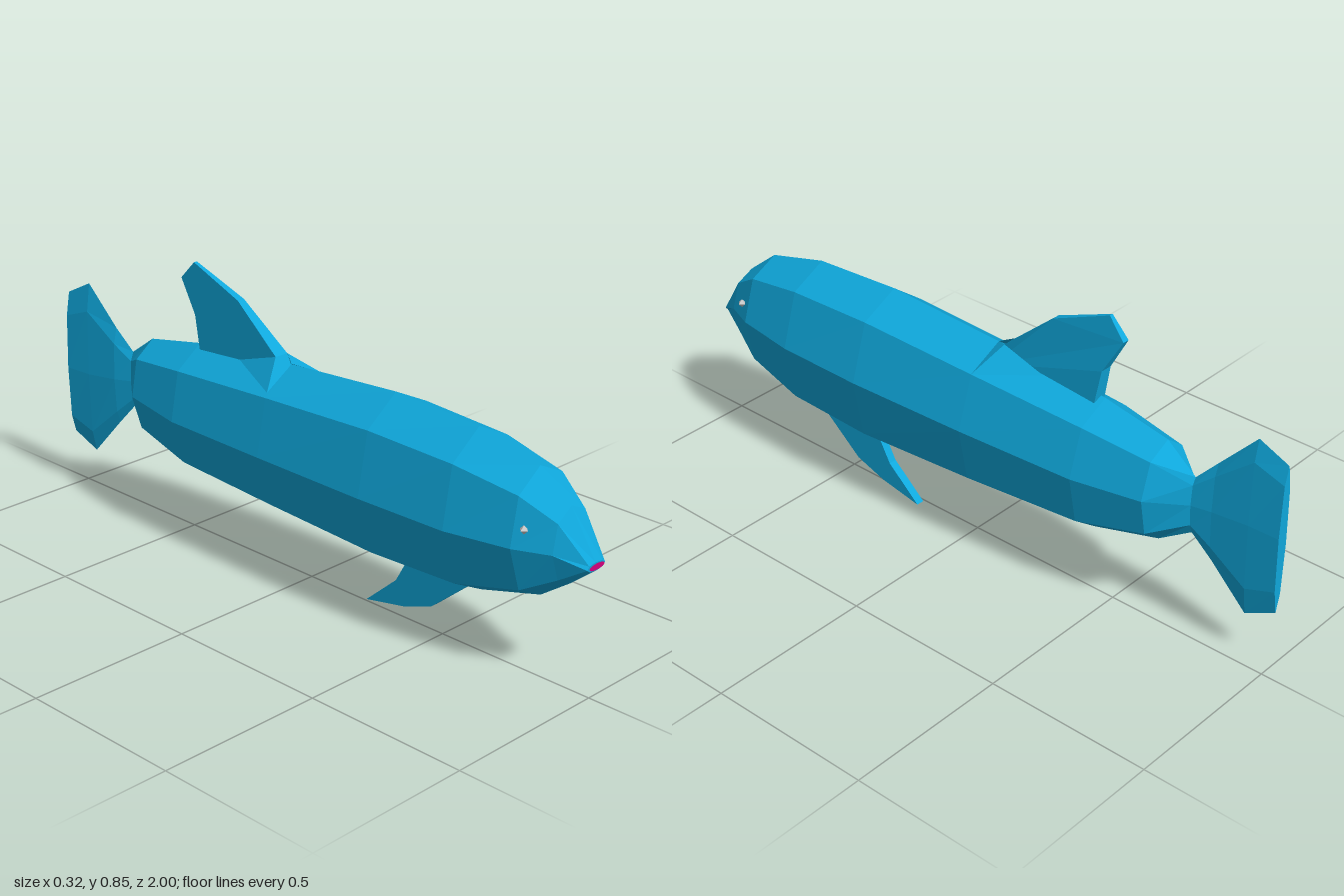
import * as THREE from 'three';

const blue = new THREE.MeshStandardMaterial({ color: 0x0fa8dc, flatShading: true, side: THREE.DoubleSide });
const grey = new THREE.MeshStandardMaterial({ color: 0xcccccc, flatShading: true });
const pink = new THREE.MeshStandardMaterial({ color: 0xd0007c });

// Slightly twisted unit octagon shared by every cross-section, clockwise from the top
const half = [[-0.1, 1], [0.66, 0.76], [1, 0.06], [0.78, -0.68]];
const ring = [...half, ...half.map(([x, y]) => [-x, -y])];

function facets(positions, index) {
  const g = new THREE.BufferGeometry();
  g.setAttribute('position', new THREE.Float32BufferAttribute(positions, 3));
  g.setIndex(index);
  const flat = g.toNonIndexed();
  flat.computeVertexNormals();
  return flat;
}

// Loft the octagon through sections [z, centreX, centreY, halfWidth, halfHeight], front to back
function loft(sections) {
  const n = ring.length, pos = [], idx = [];
  sections.forEach(([z, cx, cy, w, h], i) => {
    for (const [x, y] of ring) pos.push(cx + x * w, cy + y * h, z);
    if (i === 0) return;
    for (let k = 0; k < n; k++) {
      const a = (i - 1) * n + k, b = (i - 1) * n + (k + 1) % n;
      idx.push(a, b, a + n, b, b + n, a + n);
    }
  });
  const last = (sections.length - 1) * n;
  for (let k = 1; k < n - 1; k++) {
    idx.push(0, k + 1, k, last, last + k, last + k + 1);
  }
  return facets(pos, idx);
}

// Upright plate from a [z, y] outline, filling x0..x1
function plate(outline, x0, x1) {
  const shape = new THREE.Shape(outline.map(([z, y]) => new THREE.Vector2(z, y)));
  const g = new THREE.ExtrudeGeometry(shape, { depth: x1 - x0, bevelEnabled: false });
  g.rotateY(-Math.PI / 2).translate(x1, 0, 0);
  return g;
}

export function createModel() {
  const model = new THREE.Group();
  model.name = 'fish';
  const add = (name, geometry, material) => {
    const mesh = new THREE.Mesh(geometry, material);
    mesh.name = name;
    model.add(mesh);
    return mesh;
  };

  add('body', loft([
    [0.998, 0.003, 0.375, 0.036, 0.012],
    [0.92, 0, 0.41, 0.075, 0.11],
    [0.82, 0, 0.415, 0.12, 0.185],
    [0.62, 0, 0.412, 0.15, 0.238],
    [0.33, 0, 0.415, 0.16, 0.25],
    [-0.06, -0.005, 0.414, 0.15, 0.227],
    [-0.43, -0.012, 0.41, 0.13, 0.2],
    [-0.64, -0.015, 0.418, 0.095, 0.152],
    [-0.74, -0.015, 0.415, 0.015, 0.086],
  ]), blue);

  // Tail fans out and bends slightly to one side
  add('tailFin', loft([
    [-0.74, -0.015, 0.415, 0.015, 0.086],
    [-0.8, -0.027, 0.413, 0.017, 0.152],
    [-0.91, -0.036, 0.41, 0.018, 0.272],
    [-1, -0.043, 0.408, 0.018, 0.228],
  ]), blue);

  // Dorsal fin: flat on one side, thinning toward the tip on the other
  const dorsal = plate([
    [-0.06, 0.58], [-0.1, 0.657], [-0.25, 0.785], [-0.43, 0.857],
    [-0.485, 0.8], [-0.43, 0.7], [-0.41, 0.58],
  ], -0.042, 0.003);
  const p = dorsal.attributes.position;
  for (let i = 0; i < p.count; i++) {
    if (p.getX(i) > -0.02) p.setX(i, 0.003 - 0.165 * Math.max(0, p.getY(i) - 0.655));
  }
  dorsal.computeVertexNormals();
  add('dorsalFin', dorsal, blue);

  // Small flares joining the front of the dorsal fin to the back
  for (const [name, corner, x] of [
    ['leftFlare', [0.094, 0.587], 0.003], ['rightFlare', [-0.122, 0.561], -0.042],
  ]) {
    const pos = [...corner, -0.06, -0.02, 0.642, -0.06, x, 0.657, -0.1, x, 0.61, -0.25];
    add(name, facets(pos, x > 0 ? [0, 2, 1, 0, 3, 2] : [0, 1, 2, 0, 2, 3]), blue);
  }

  add('bellyFin', plate([
    [0.6, 0.19], [0.45, 0.065], [0.35, 0.03], [0.21, 0.003],
    [0.32, 0.1], [0.37, 0.19],
  ], 0.006, 0.031), blue);

  // Mouth
  const mouth = add('mouth', new THREE.CircleGeometry(1, 20), pink);
  mouth.scale.set(0.03, 0.009, 1);
  mouth.position.set(0.004, 0.375, 1);

  // Eyes
  for (const [name, x, y] of [['leftEye', 0.101, 0.472], ['rightEye', -0.105, 0.462]]) {
    add(name, new THREE.OctahedronGeometry(0.013), grey).position.set(x, y, 0.85);
  }
  return model;
}
